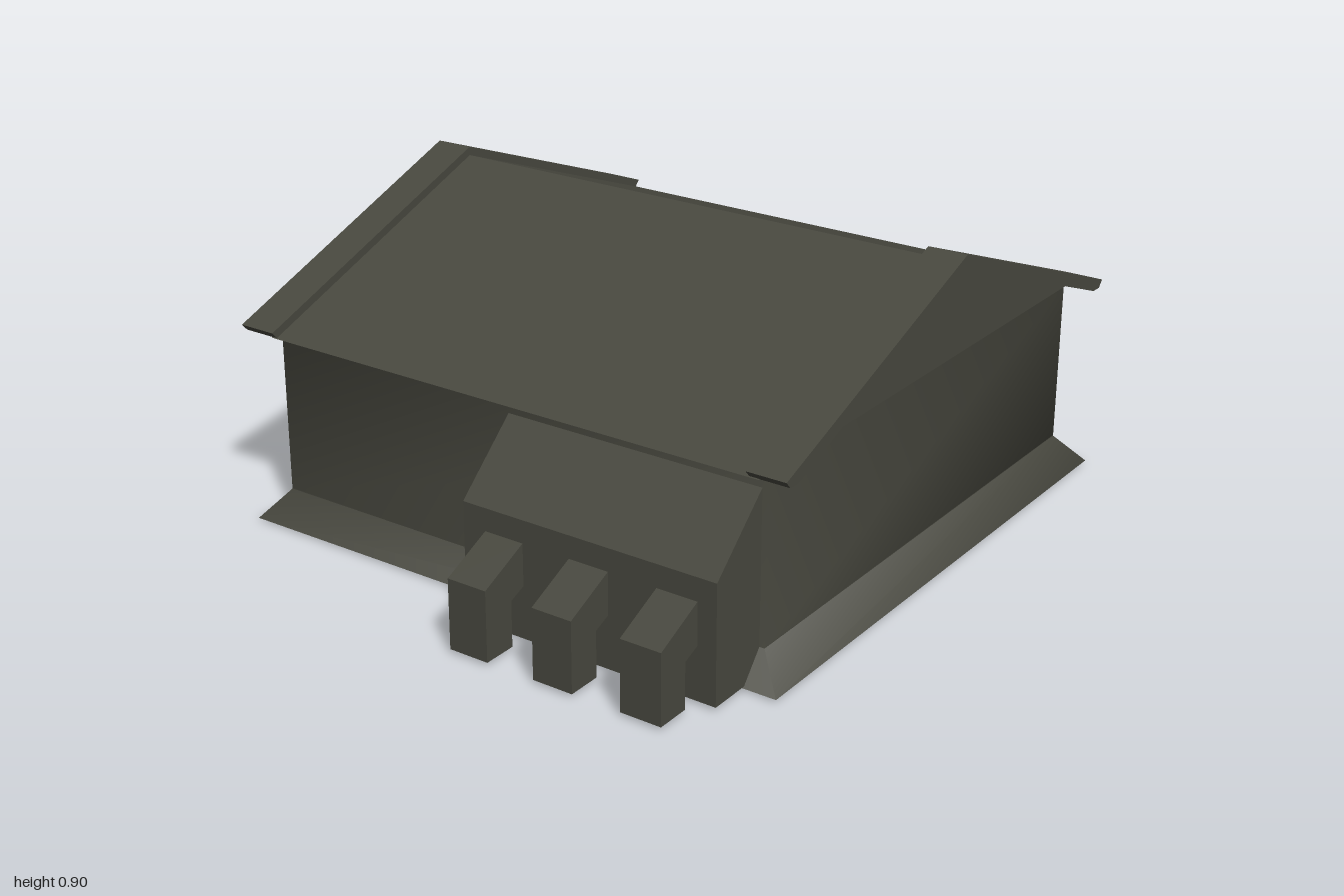
import * as THREE from 'three';

const stone = new THREE.MeshStandardMaterial({ color: 0x48483f, side: THREE.DoubleSide });
stone.name = 'dark grey';

const CX = 0.14, BACK = -0.785, FRONT = 0.8, L = -0.66, R = 0.92, FOOT = 0.09, TOP = 0.56;
const DOOR_L = -0.18, DOOR_R = 0.46, DOOR_TOP = 0.47, PANEL_Z = -0.765;

export function createModel() {
  const model = new THREE.Group();

  function add(name, geometry, x = 0, y = 0, z = 0, ry = 0) {
    const mesh = new THREE.Mesh(geometry, stone);
    mesh.name = name;
    mesh.position.set(x, y, z);
    mesh.rotation.y = ry;
    model.add(mesh);
  }
  const shape = pts => new THREE.Shape(pts.map(p => new THREE.Vector2(...p)));
  const extrude = (pts, depth) =>
    new THREE.ExtrudeGeometry(shape(pts), { depth, bevelEnabled: false });

  // Skin between two rows of points with shared vertices, for soft shading
  function skin(lower, upper) {
    const n = lower.length, index = [];
    for (let a = 0; a < n - 1; a++) {
      index.push(a, a + 1, a + 1 + n, a, a + 1 + n, a + n);
    }
    const g = new THREE.BufferGeometry();
    g.setAttribute('position', new THREE.Float32BufferAttribute([lower, upper].flat(2), 3));
    g.setIndex(index);
    g.computeVertexNormals();
    return g;
  }

  // Walls and hollow flared footing, open at the back doorway
  const ring = (y, l, r, back, front) => [
    [DOOR_L, y, back], [l, y, back], [l, y, front],
    [r, y, front], [r, y, back], [DOOR_R, y, back],
  ];
  const wallFoot = ring(FOOT, L, R, BACK, FRONT);
  add('footing', skin(ring(0.006, -0.73, 0.985, -0.855, 0.88), wallFoot));
  add('walls', skin(wallFoot, ring(TOP, L, R, BACK, FRONT)));

  // Floor raised to the top of the footing
  add('floor', new THREE.BoxGeometry(R - L, 0.004, FRONT - BACK),
    (L + R) / 2, FOOT, (BACK + FRONT) / 2);

  // Back doorway: lintel, door and side jambs
  const doorW = DOOR_R - DOOR_L, jambDepth = PANEL_Z - BACK;
  add('lintel', new THREE.BoxGeometry(doorW, TOP - DOOR_TOP, jambDepth),
    CX, (TOP + DOOR_TOP) / 2, (BACK + PANEL_Z) / 2);
  add('door', new THREE.BoxGeometry(doorW, DOOR_TOP - FOOT, 0.008),
    CX, (DOOR_TOP + FOOT) / 2, PANEL_Z);
  for (const x of [DOOR_L, DOOR_R]) {
    add('doorJamb', new THREE.PlaneGeometry(jambDepth, DOOR_TOP - FOOT),
      x, (DOOR_TOP + FOOT) / 2, (BACK + PANEL_Z) / 2, Math.PI / 2);
  }

  // Pitched roof with overhanging eaves and gables in the wall planes
  add('roof', extrude([[-0.84, TOP], [0.84, TOP], [0, 0.875]], FRONT - BACK), CX, 0, BACK);

  // Raised trims on both gable ends
  for (const z of [-0.885, 0.77]) {
    add('gableTrim', extrude([
      [-0.853, 0.58], [-0.835, TOP], [-0.8, TOP], [0, 0.86],
      [0.8, TOP], [0.835, TOP], [0.853, 0.58], [0, 0.9],
    ], 0.115), CX, 0, z);
  }

  // Side annex with a sloping top
  add('annex', extrude([
    [-0.85, 0.01], [-0.65, 0.01], [-0.65, 0.53], [-0.85, 0.345],
  ], 0.775), 0, 0, 0.01);

  // Bent pipes from the annex to the ground
  for (const z of [0.08, 0.345, 0.61]) {
    add('pipe', extrude([
      [-1, 0.01], [-0.9, 0.01], [-0.9, 0.14], [-0.84, 0.165], [-0.84, 0.285], [-1, 0.21],
    ], 0.12), 0, 0, z);
  }

  // Chamfered posts beside the door
  for (const x of [-0.46, 0.6]) {
    add('post', extrude([
      [0.855, 0], [0.855, 0.21], [0.775, 0.31], [0.775, 0],
    ], 0.115), x, 0, 0, Math.PI / 2);
  }

  return model;
}
